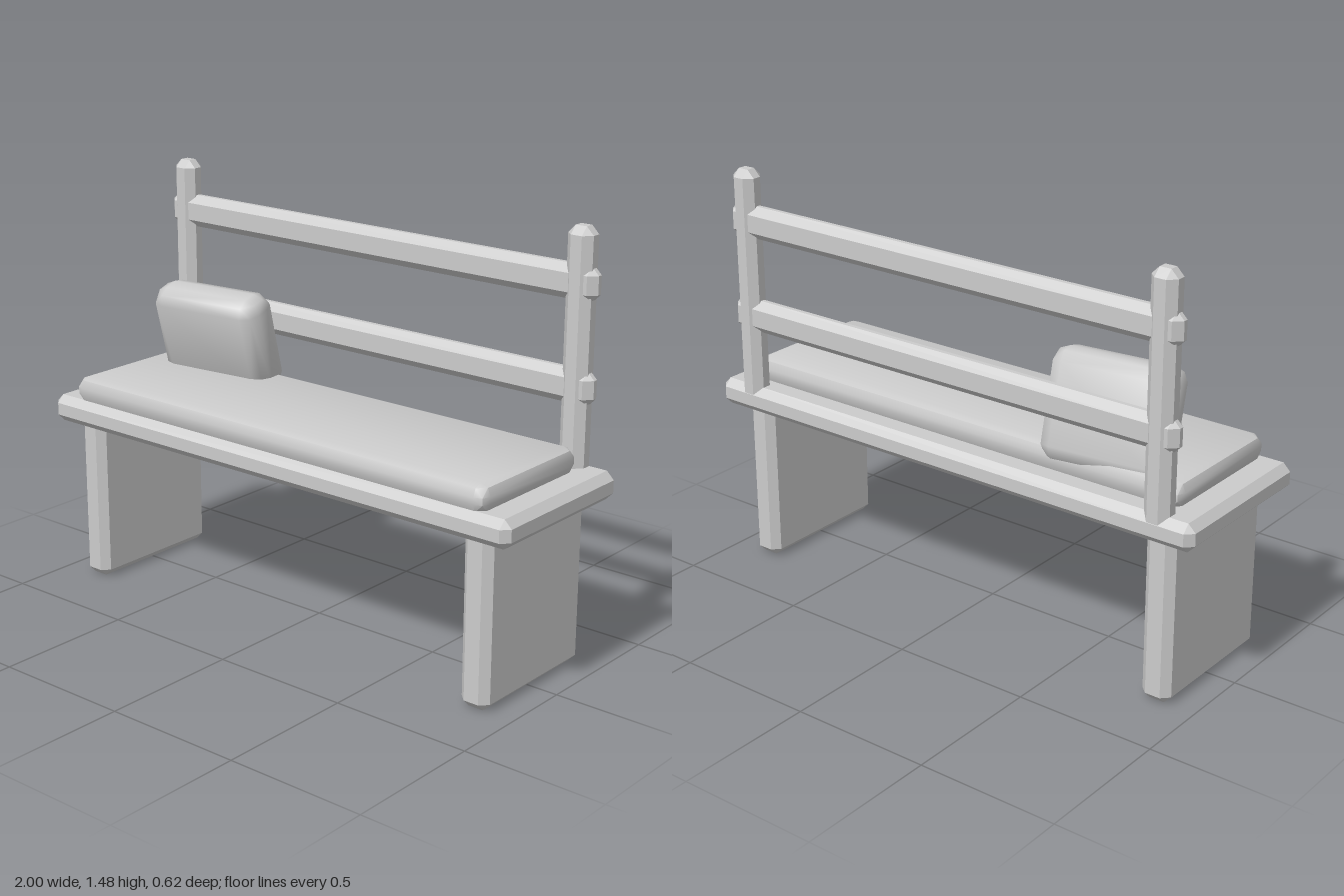
import * as THREE from 'three';
import { ConvexGeometry } from 'three/addons/geometries/ConvexGeometry.js';
import { toCreasedNormals } from 'three/addons/utils/BufferGeometryUtils.js';

const SIGNS = [-1, 1];

// Box with bevelled edges: each corner is an octant patch of radius r with the given facets
function bevelBox(w, h, d, r, facets) {
  const points = [];
  for (const sx of SIGNS) for (const sy of SIGNS) for (const sz of SIGNS) {
    for (let i = 0; i <= facets; i++) for (let j = 0; j <= facets - i; j++) {
      const n = new THREE.Vector3(i, j, facets - i - j).normalize();
      points.push(new THREE.Vector3(
        sx * (w / 2 - r + r * n.x),
        sy * (h / 2 - r + r * n.y),
        sz * (d / 2 - r + r * n.z)));
    }
  }
  return new ConvexGeometry(points);
}

export function createModel() {
  const bench = new THREE.Group();
  bench.name = 'bench';
  const wood = new THREE.MeshStandardMaterial({ color: 0xcccccc, flatShading: true });
  const fabric = new THREE.MeshStandardMaterial({ color: 0xcccccc });

  function add(name, geometry, material, x, y, z) {
    const mesh = new THREE.Mesh(geometry, material);
    mesh.name = name;
    mesh.position.set(x, y, z);
    bench.add(mesh);
    return mesh;
  }

  // Seat board
  add('seat', bevelBox(2, 0.098, 0.625, 0.027, 1), wood, 0, 0.632, 0);

  // Slab legs and back posts, mirrored
  const legGeometry = bevelBox(0.11, 0.62, 0.54, 0.027, 1);
  const postGeometry = bevelBox(0.095, 0.875, 0.085, 0.027, 1);
  for (const side of SIGNS) {
    const label = side > 0 ? 'left' : 'right';
    add(label + 'Leg', legGeometry, wood, side * 0.855, 0.31, 0);
    add(label + 'BackPost', postGeometry, wood, side * 0.857, 1.0375, -0.269);
  }

  // Rails passing through the posts
  const railGeometry = bevelBox(1.85, 0.117, 0.07, 0.027, 1);
  add('upperRail', railGeometry, wood, 0, 1.29, -0.269);
  add('lowerRail', railGeometry, wood, 0, 0.947, -0.269);

  // Seat cushion
  const cushion = toCreasedNormals(bevelBox(1.8, 0.1, 0.525, 0.038, 2), 0.7);
  add('seatCushion', cushion, fabric, 0, 0.715, 0.033);

  // Tilted throw pillow
  const pillowGeometry = toCreasedNormals(bevelBox(0.45, 0.38, 0.155, 0.052, 2), 0.9);
  const pillow = add('pillow', pillowGeometry, fabric, -0.573, 0.883, -0.115);
  pillow.rotation.set(0.27, 0.11, 0, 'YXZ');

  return bench;
}
